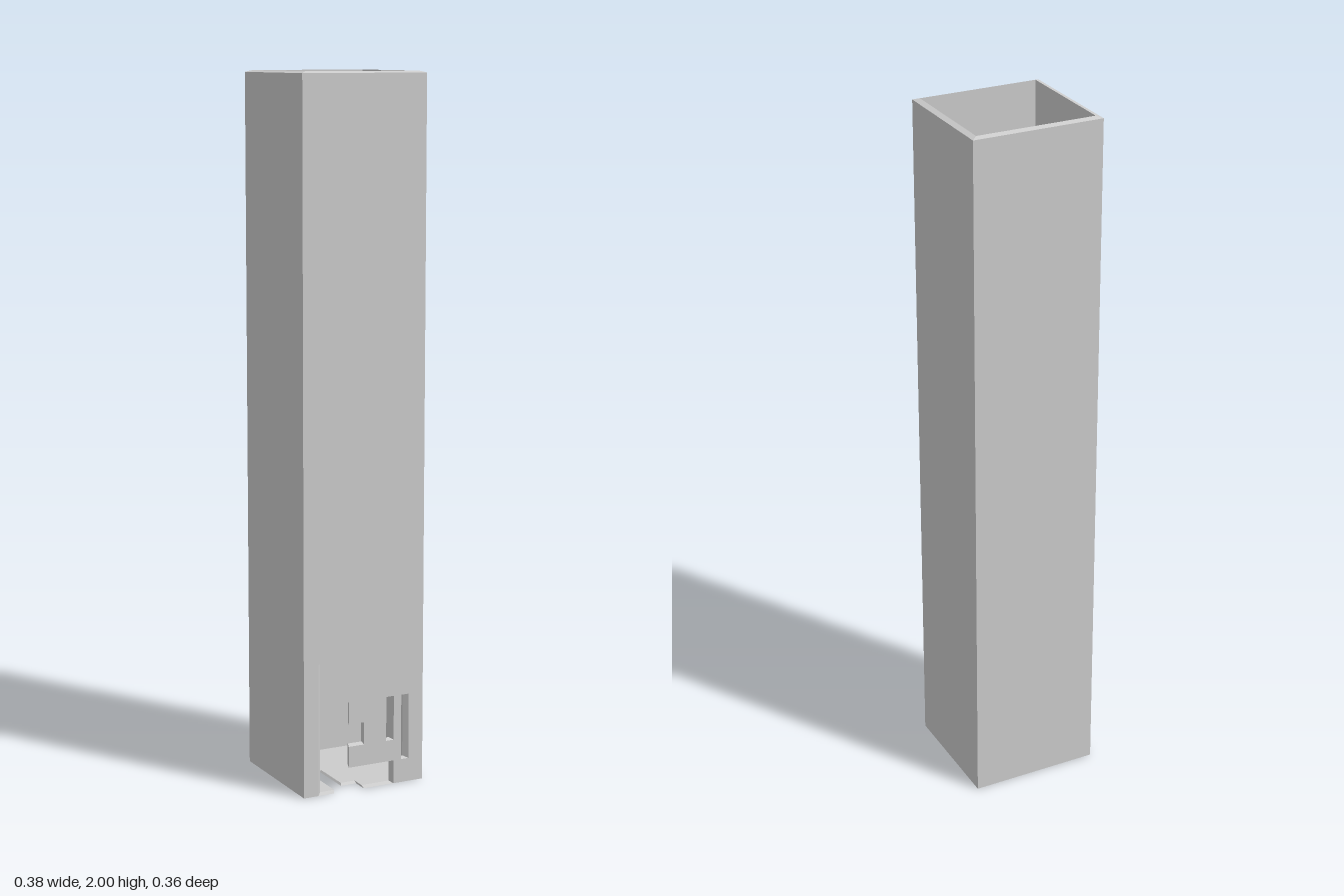
import * as THREE from 'three';

const HX = 0.188, HZ = 0.181, H = 1.995; // outer half width, half depth, height
const KX = 0.915, KZ = 0.92, LIFT = 0.005; // inner skin: scaled inwards and lifted

const material = new THREE.MeshStandardMaterial({ color: 0xcccccc, flatShading: true });

const shapeFrom = (pts) => new THREE.Shape(pts.map(([x, y]) => new THREE.Vector2(x, y)));
const rect = (x0, y0, x1, y1) => shapeFrom([[x0, y0], [x1, y0], [x1, y1], [x0, y1]]);

// Thin panel with mitred edges: place() puts the flat shape on the outer skin,
// and the back of the panel is drawn in towards the axis.
function panel(name, shape, place) {
  const geometry = new THREE.ExtrudeGeometry(shape, { depth: 1, bevelEnabled: false });
  const pos = geometry.attributes.position;
  for (let i = 0; i < pos.count; i++) {
    const inner = pos.getZ(i) < 0.5;
    const [x, y, z] = place(pos.getX(i), pos.getY(i));
    pos.setXYZ(i, inner ? x * KX : x, inner ? y + LIFT : y, inner ? z * KZ : z);
  }
  geometry.computeVertexNormals();
  const mesh = new THREE.Mesh(geometry, material);
  mesh.name = name;
  return mesh;
}

export function createModel() {
  const group = new THREE.Group();
  group.name = 'squareTube';

  // Front wall with a stepped opening at its foot and two slots
  const front = shapeFrom([
    [-HX, 0], [-0.143, 0], [-0.143, 0.38], [-0.095, 0.38], [-0.095, 0.258],
    [-0.048, 0.258], [-0.048, 0.194], [0, 0.194], [0, 0.129], [-0.048, 0.129],
    [-0.048, 0.068], [0.095, 0.068], [0.095, 0], [HX, 0], [HX, H], [-HX, H],
  ]);
  front.holes.push(rect(0.071, 0.129, 0.095, 0.258), rect(0.119, 0.068, 0.143, 0.258));
  group.add(panel('frontWall', front, (u, v) => [u, v, HZ]));

  // Plain walls
  group.add(panel('backWall', rect(-HX, 0, HX, H), (u, v) => [-u, v, -HZ]));
  group.add(panel('leftWall', rect(-HZ, 0, HZ, H), (u, v) => [HX, v, -u]));
  group.add(panel('rightWall', rect(-HZ, 0, HZ, H), (u, v) => [-HX, v, u]));

  // Floor with an L-shaped notch running in from the front edge
  const floor = shapeFrom([
    [-HX, -HZ], [HX, -HZ], [HX, HZ], [0, HZ], [0, 0.134], [-0.048, 0.134],
    [-0.048, 0], [-0.095, 0], [-0.095, HZ], [-HX, HZ],
  ]);
  group.add(panel('floor', floor, (u, v) => [u, 0, v]));

  return group;
}
